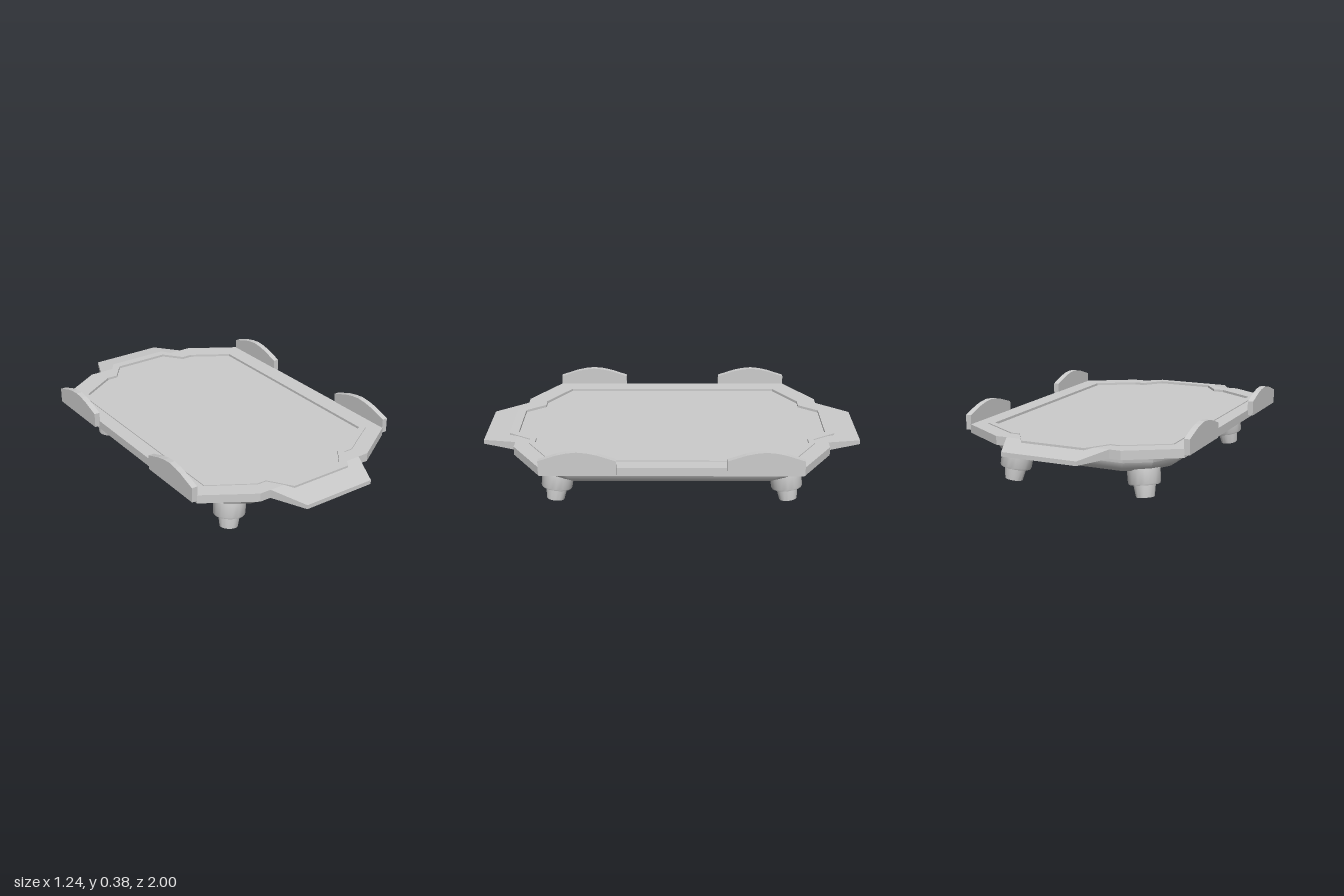
import * as THREE from 'three';
import { toCreasedNormals } from 'three/addons/utils/BufferGeometryUtils.js';

const material = new THREE.MeshStandardMaterial({ color: 0xcccccc, side: THREE.DoubleSide });

function add(parent, name, geometry) {
  const mesh = new THREE.Mesh(geometry, material);
  mesh.name = name;
  parent.add(mesh);
  return mesh;
}

// Mirror one quadrant of [x, z] points, listed from the side to the end, into a full loop
function mirrorLoop(quad) {
  const back = [...quad].reverse();
  return [
    ...quad,
    ...back.map(([x, z]) => [-x, z]),
    ...quad.map(([x, z]) => [-x, -z]),
    ...back.map(([x, z]) => [x, -z]),
  ].map(([x, z]) => new THREE.Vector2(x, z));
}

// Horizontal slab between two heights, with an optional hole
function slab(outline, bottom, top, hole) {
  const shape = new THREE.Shape(outline);
  if (hole) shape.holes.push(new THREE.Path(hole));
  const g = new THREE.ExtrudeGeometry(shape, { depth: top - bottom, bevelEnabled: false });
  return g.rotateX(Math.PI / 2).translate(0, top, 0);
}

// Skin over cross-section loops, capped at the last one
function loft(rings, crease) {
  const n = rings[0].length, index = [];
  for (let r = 0; r < rings.length - 1; r++) {
    for (let i = 0; i < n; i++) {
      const a = r * n + i, b = r * n + (i + 1) % n;
      index.push(a, b, a + n, b, b + n, a + n);
    }
  }
  const last = (rings.length - 1) * n;
  for (let i = 1; i < n - 1; i++) index.push(last, last + i, last + i + 1);
  const g = new THREE.BufferGeometry();
  g.setAttribute('position', new THREE.Float32BufferAttribute(rings.flat(2), 3));
  g.setIndex(index);
  return toCreasedNormals(g, crease);
}

// Sloping end tongue, hollow underneath
function tongueGeometry() {
  const p = [
    [-0.28, 0.285, 0.82], [0.28, 0.285, 0.82], [0.2, 0.262, 1], [-0.2, 0.262, 1],
    [-0.28, 0.24, 0.82], [0.28, 0.24, 0.82], [0.2, 0.24, 1], [-0.2, 0.24, 1],
  ];
  const g = new THREE.BufferGeometry();
  g.setAttribute('position', new THREE.Float32BufferAttribute(p.flat(), 3));
  g.setIndex([0, 3, 2, 0, 2, 1, 3, 7, 6, 3, 6, 2, 2, 6, 5, 2, 5, 1, 0, 4, 7, 0, 7, 3]);
  return toCreasedNormals(g, 0.1);
}

export function createModel() {
  const model = new THREE.Group();
  model.name = 'footedTray';

  // Deck plate: rim around a shallow recess
  const outer = mirrorLoop([[0.595, 0.66], [0.34, 0.82], [0.28, 0.82]]);
  const lip = mirrorLoop([[0.52, 0.61], [0.3, 0.745], [0.25, 0.745], [0.17, 0.865]]);
  const recess = mirrorLoop([[0.49, 0.59], [0.29, 0.715], [0.232, 0.715], [0.153, 0.818]]);
  add(model, 'deckRim', slab(outer, 0.24, 0.285, recess));
  add(model, 'deckLip', slab(lip, 0.27, 0.29, recess));
  add(model, 'deckPanel', slab(recess, 0.24, 0.277));

  // Tongues at both ends
  for (const angle of [0, Math.PI]) {
    add(model, 'endTongue', tongueGeometry()).rotation.y = angle;
  }

  // Rounded belly with a flat base
  const levels = [ // y, half width, half length, corner x, corner z
    [0.24, 0.52, 0.735, 0.31, 0.54],
    [0.2, 0.508, 0.735, 0.31, 0.535],
    [0.168, 0.49, 0.718, 0.3, 0.52],
    [0.147, 0.46, 0.69, 0.29, 0.5],
    [0.072, 0.26, 0.4, 0.16, 0.29],
  ];
  const rings = levels.map(([y, w, l, cx, cz]) => {
    const mid = [(w + cx) / 2 + 0.025, (l + cz) / 2 + 0.025];
    return mirrorLoop([[w, cz], mid, [cx, l]]).map((v) => [v.x, y, v.y]);
  });
  add(model, 'belly', loft(rings, 0.65));

  // Curved guard fins on the long sides
  const fin = new THREE.Shape();
  fin.moveTo(-0.193, 0.255);
  for (const [z, y] of [[-0.193, 0.333], [-0.1, 0.364], [-0.05, 0.375], [0, 0.38],
    [0.05, 0.375], [0.1, 0.364], [0.193, 0.333], [0.193, 0.255]]) fin.lineTo(z, y);
  const finGeometry = new THREE.ExtrudeGeometry(fin, { depth: 0.03, bevelEnabled: false })
    .translate(0, 0, -0.015).rotateY(Math.PI / 2);

  // Hollow feet: wide collar around a tapered tube, leaning outwards
  const collar = [[0.06, 0.08], [0.083, 0.08], [0.081, 0.008], [0.077, 0], [0.06, 0], [0.06, 0.04]];
  const tube = [[0.057, 0.04], [0.056, 0], [0.046, -0.064], [0.038, -0.064], [0.036, -0.02], [0, -0.02]];
  const lathe = (profile) => toCreasedNormals(
    new THREE.LatheGeometry(profile.map(([r, y]) => new THREE.Vector2(r, y)), 28), 0.5);

  for (const sx of [1, -1]) {
    for (const sz of [1, -1]) {
      add(model, 'guardFin', finGeometry).position.set(sx * 0.607, 0, sz * 0.467);

      const foot = new THREE.Group();
      foot.name = 'foot';
      add(foot, 'footCollar', lathe(collar));
      add(foot, 'footTube', lathe(tube));
      foot.position.set(sx * 0.365, 0.07, sz * 0.602);
      foot.rotation.set(-sz * 0.13, 0, sx * 0.13);
      model.add(foot);
    }
  }
  return model;
}
